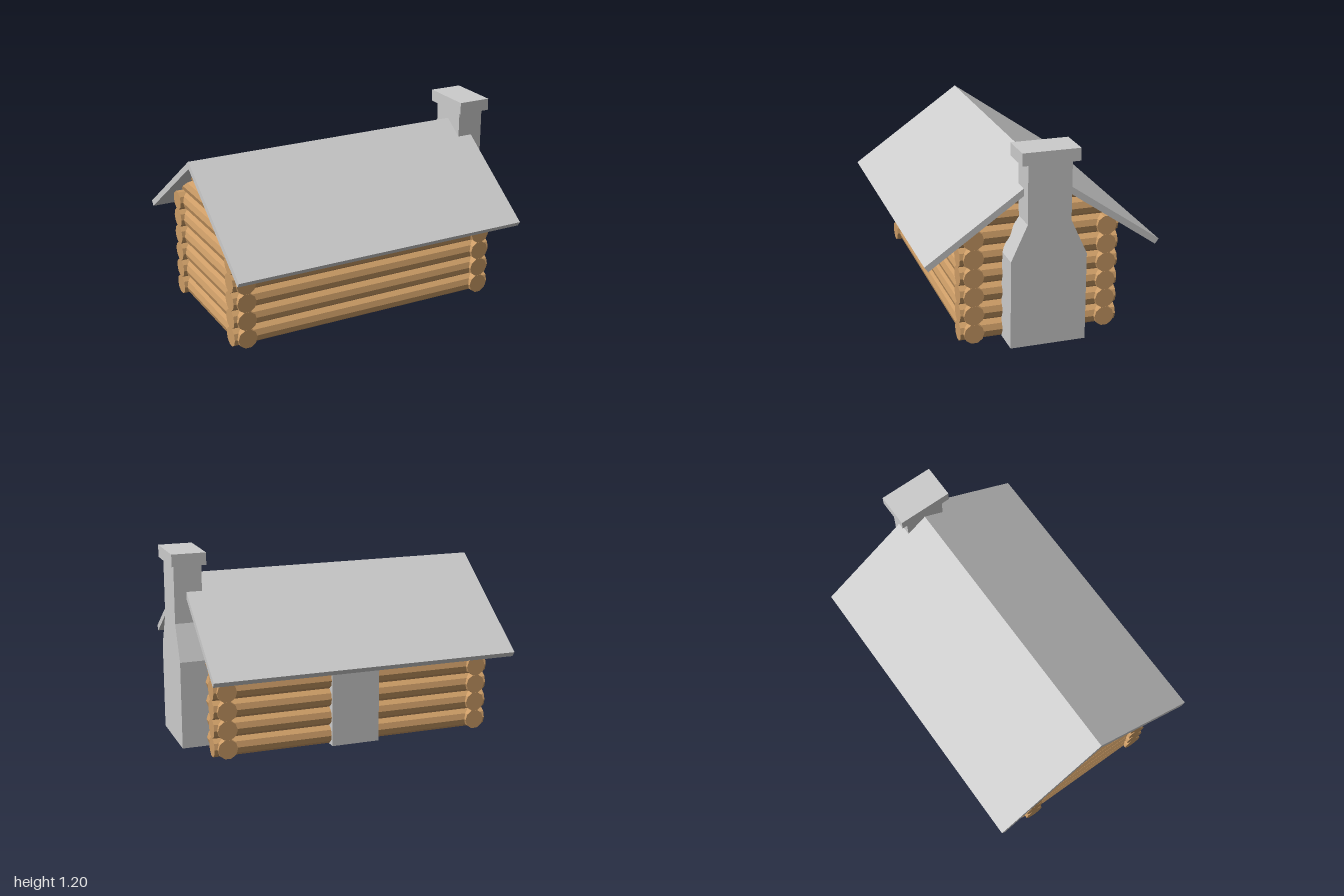
import * as THREE from 'three';

const wood = new THREE.MeshStandardMaterial({ color: 0xcc9c66, flatShading: true });
const grey = new THREE.MeshStandardMaterial({ color: 0xcccccc, flatShading: true });

const LOG_R = 0.0613, PITCH = 0.117, FIRST_Y = 0.063, WALL_ROWS = 6, GABLE_ROWS = 3;
const CENTRE_X = -0.046, HALF_X = 0.812, HALF_Z = 0.405, OVERHANG = 0.078;
const RIDGE = 1.046, SLOPE = 0.697, ROOF_T = 0.046, ROOF_Z = 0.71;

function add(parent, name, geometry, material) {
  const mesh = new THREE.Mesh(geometry, material);
  mesh.name = name;
  parent.add(mesh);
  return mesh;
}

// Ten-sided log with a flat top and bottom, lying along x or z
function logGeometry(length, alongZ) {
  const g = new THREE.CylinderGeometry(LOG_R, LOG_R, length, 10).rotateZ(Math.PI / 2);
  return alongZ ? g.rotateY(Math.PI / 2) : g;
}

// Log along z whose ends are cut to the underside of the roof
function gableLogGeometry(y) {
  const g = logGeometry(1, true).translate(0, y, 0);
  const p = g.attributes.position;
  const peak = RIDGE - ROOF_T;
  for (let i = 0; i < p.count; i++) {
    const vy = Math.min(p.getY(i), peak);
    p.setY(i, vy);
    p.setZ(i, Math.sign(p.getZ(i)) * (peak - vy) / SLOPE);
  }
  g.computeVertexNormals();
  return g;
}

// Outline in the (z, y) plane, extruded along x from x0 to x1
function extrudeAlongX(points, x0, x1) {
  const shape = new THREE.Shape(points.map(([z, y]) => new THREE.Vector2(-z, y)));
  return new THREE.ExtrudeGeometry(shape, { depth: x1 - x0, bevelEnabled: false })
    .rotateY(Math.PI / 2).translate(x0, 0, 0);
}

function box(x0, x1, y0, y1, z0, z1) {
  return new THREE.BoxGeometry(x1 - x0, y1 - y0, z1 - z0)
    .translate((x0 + x1) / 2, (y0 + y1) / 2, (z0 + z1) / 2);
}

export function createModel() {
  const cabin = new THREE.Group();
  cabin.name = 'logCabin';

  // Walls: crossing logs at the corners, all rows level
  const walls = new THREE.Group();
  walls.name = 'walls';
  cabin.add(walls);
  const longLog = logGeometry(2 * (HALF_X + OVERHANG), false);
  const shortLog = logGeometry(2 * (HALF_Z + OVERHANG), true);
  for (let row = 0; row < WALL_ROWS; row++) {
    const y = FIRST_Y + row * PITCH;
    for (const s of [1, -1]) {
      add(walls, s > 0 ? 'frontLog' : 'backLog', longLog, wood).position.set(CENTRE_X, y, s * HALF_Z);
      add(walls, s > 0 ? 'leftLog' : 'rightLog', shortLog, wood).position.set(CENTRE_X + s * HALF_X, y, 0);
    }
  }

  // Gables: shorter logs filling the triangle under the roof
  for (let i = 0; i < GABLE_ROWS; i++) {
    const g = gableLogGeometry(FIRST_Y + (WALL_ROWS + i) * PITCH);
    for (const s of [1, -1]) {
      add(walls, s > 0 ? 'leftGableLog' : 'rightGableLog', g, wood).position.x = CENTRE_X + s * HALF_X;
    }
  }

  // Roof: one folded slab with eaves cut square to the slope
  const eaveY = RIDGE - SLOPE * ROOF_Z;
  const innerZ = ROOF_Z - 0.022;
  const innerY = RIDGE - ROOF_T - SLOPE * innerZ;
  add(cabin, 'roof', extrudeAlongX([
    [ROOF_Z, eaveY], [innerZ, innerY], [0, RIDGE - ROOF_T],
    [-innerZ, innerY], [-ROOF_Z, eaveY], [0, RIDGE],
  ], -1, 0.905), grey);

  // Chimney: wide hearth tapering to a narrow stack, with a cap
  const half = [[0.228, 0.01], [0.228, 0.55], [0.13, 0.765], [0.13, 1.12]];
  const mirrored = half.map(([z, y]) => [-z, y]).reverse();
  add(cabin, 'chimney', extrudeAlongX([...half, ...mirrored], 0.81, 0.98), grey);
  add(cabin, 'chimneyCap', box(0.79, 1, 1.12, 1.195, -0.172, 0.172), grey);

  // Door in the back wall, standing just proud of the logs
  add(cabin, 'door', box(-0.2, 0.105, 0, 0.5, -0.477, -0.39), grey);

  return cabin;
}
